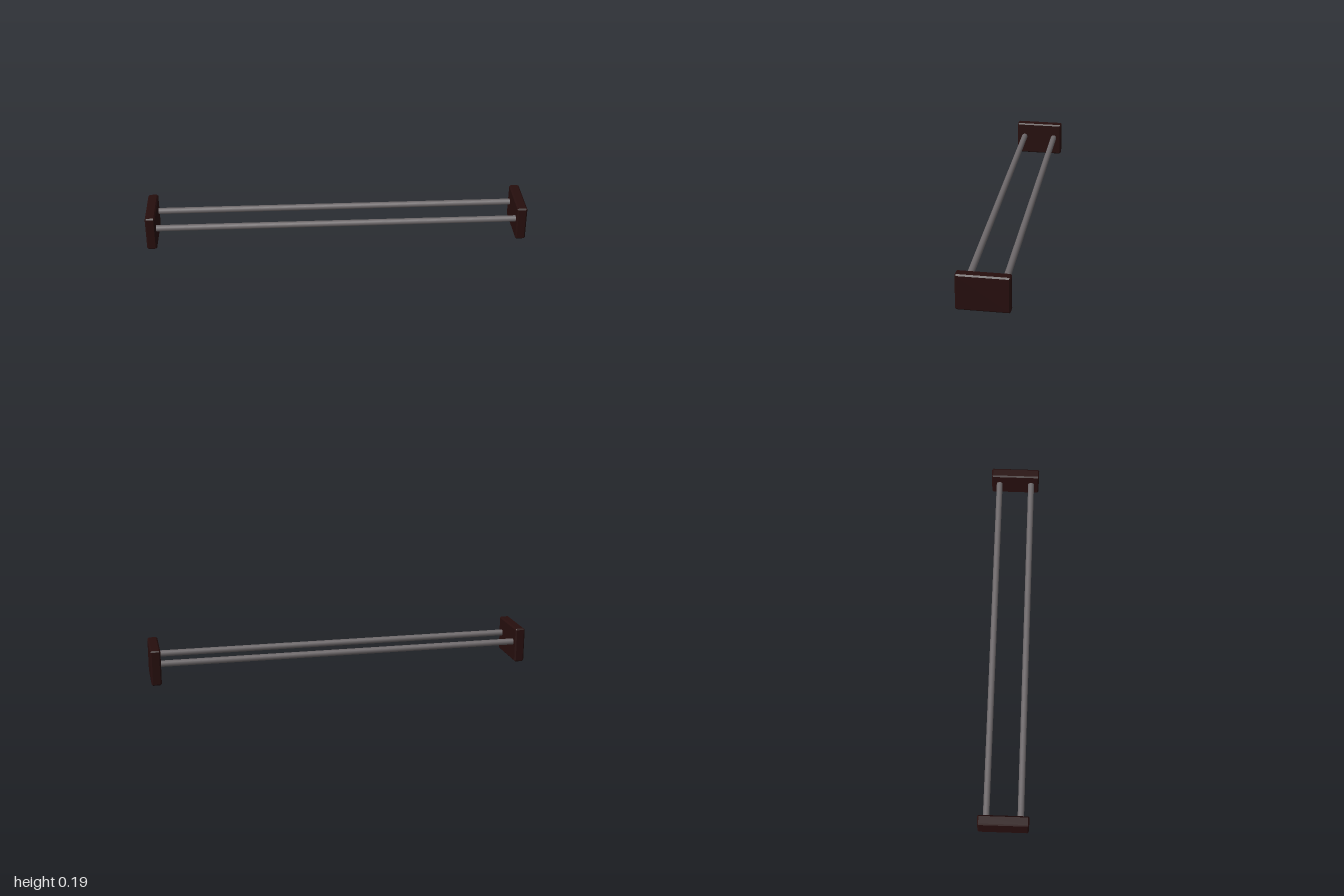
import * as THREE from 'three';
import { ConvexGeometry } from 'three/addons/geometries/ConvexGeometry.js';

// Box with every edge cut by a single flat chamfer
function chamferBox(w, h, d, c) {
  const points = [];
  for (const sx of [-1, 1]) for (const sy of [-1, 1]) for (const sz of [-1, 1]) {
    const x = w / 2, y = h / 2, z = d / 2;
    points.push(
      new THREE.Vector3(sx * x, sy * (y - c), sz * (z - c)),
      new THREE.Vector3(sx * (x - c), sy * y, sz * (z - c)),
      new THREE.Vector3(sx * (x - c), sy * (y - c), sz * z)
    );
  }
  return new ConvexGeometry(points);
}

export function createModel() {
  const darkWood = new THREE.MeshStandardMaterial({ color: 0x260e0d });
  darkWood.name = 'darkWood';
  const greyMetal = new THREE.MeshStandardMaterial({ color: 0x6d686a });
  greyMetal.name = 'greyMetal';

  const model = new THREE.Group();
  model.name = 'doubleRail';

  // Wall brackets at both ends
  const height = 0.185, thickness = 0.052;
  const bracketGeometry = chamferBox(thickness, height, 0.262, 0.007);
  for (const side of [-1, 1]) {
    const bracket = new THREE.Mesh(bracketGeometry, darkWood);
    bracket.name = side > 0 ? 'leftBracket' : 'rightBracket';
    bracket.position.set(side * (1 - thickness / 2), height / 2, 0);
    model.add(bracket);
  }

  // Two parallel rods, seated in the brackets
  const rodGeometry = new THREE.CylinderGeometry(0.0165, 0.0165, 1.92, 20);
  rodGeometry.rotateZ(Math.PI / 2);
  for (const side of [-1, 1]) {
    const rod = new THREE.Mesh(rodGeometry, greyMetal);
    rod.name = side > 0 ? 'frontRod' : 'backRod';
    rod.position.set(0, 0.104, side * 0.088);
    model.add(rod);
  }

  return model;
}
